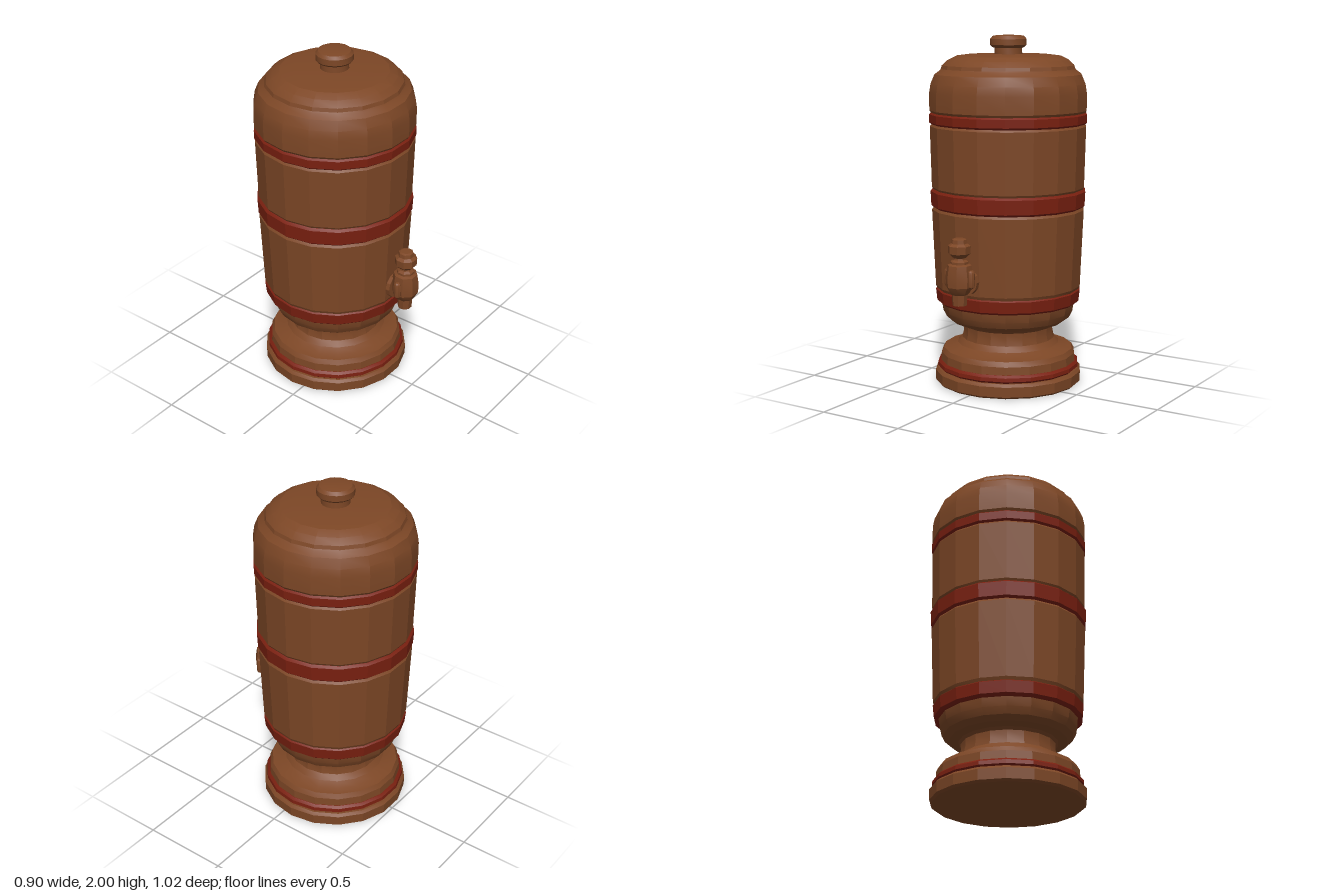
import * as THREE from 'three';
import { toCreasedNormals } from 'three/addons/utils/BufferGeometryUtils.js';

const clay = new THREE.MeshStandardMaterial({ color: 0x7d4726 });
clay.name = 'clay brown';
const red = new THREE.MeshStandardMaterial({ color: 0x7a2010 });
red.name = 'band red';

// Faceted turned part from [radius, height] pairs, listed bottom to top
function turned(name, profile, material, sides = 18, crease = 0.33) {
  const points = profile.map(([r, y]) => new THREE.Vector2(r, y));
  const lathe = new THREE.LatheGeometry(points, sides, Math.PI / sides);
  const mesh = new THREE.Mesh(toCreasedNormals(lathe, crease), material);
  mesh.name = name;
  return mesh;
}

// Red hoop with small bevels
function band(name, y0, y1, r0, r1) {
  const b = 0.012, d = 0.014;
  return turned(name, [
    [r0 - 0.05, y0], [r0 - d, y0], [r0, y0 + b], [r1, y1 - b], [r1 - d, y1], [r1 - 0.05, y1],
  ], red);
}

function createTap() {
  const tap = new THREE.Group();
  tap.name = 'tap';
  tap.position.z = 0.43;

  tap.add(turned('tapBody', [
    [0, 0.54], [0.04, 0.54], [0.044, 0.6], [0.055, 0.61], [0.075, 0.645],
    [0.078, 0.7], [0.068, 0.765], [0.05, 0.772], [0.05, 0.785], [0.034, 0.795],
    [0.03, 0.815], [0, 0.815],
  ], clay, 8));
  tap.add(turned('tapHandle', [
    [0, 0.8], [0.035, 0.805], [0.062, 0.83], [0.064, 0.872], [0.045, 0.885],
    [0.042, 0.907], [0.03, 0.912], [0, 0.912],
  ], clay, 8));

  // Side lugs
  for (const side of [-1, 1]) {
    const lug = new THREE.Mesh(toCreasedNormals(new THREE.CapsuleGeometry(0.02, 0.065, 3, 8), 0.3), clay);
    lug.name = side > 0 ? 'leftLug' : 'rightLug';
    lug.position.set(side * 0.077, 0.69, 0);
    tap.add(lug);
  }

  // Pipe and flange entering the vessel
  for (const [name, r, len, y, z] of [['pipe', 0.04, 0.1, 0.69, -0.06], ['flange', 0.075, 0.03, 0.66, -0.073]]) {
    const part = new THREE.Mesh(toCreasedNormals(new THREE.CylinderGeometry(r, r, len, 12), 0.3), clay);
    part.name = name;
    part.rotation.x = Math.PI / 2;
    part.position.set(0, y, z);
    tap.add(part);
  }
  return tap;
}

export function createModel() {
  const model = new THREE.Group();
  model.name = 'waterFilter';
  const vessel = new THREE.Group();
  vessel.name = 'vessel';
  vessel.position.z = -0.07;
  model.add(vessel, createTap());

  // Foot
  vessel.add(turned('plinth', [
    [0, 0], [0.41, 0], [0.424, 0.012], [0.426, 0.07], [0.412, 0.085], [0.3, 0.085],
  ], clay));
  vessel.add(band('footBand', 0.085, 0.13, 0.412, 0.41));
  vessel.add(turned('foot', [
    [0.36, 0.125], [0.393, 0.13], [0.39, 0.175], [0.375, 0.202], [0.335, 0.21],
    [0.295, 0.232], [0.268, 0.262], [0.26, 0.3], [0.262, 0.335], [0.275, 0.35],
    [0.325, 0.362], [0.358, 0.387], [0.378, 0.425], [0.386, 0.475], [0.36, 0.482],
  ], clay));

  // Vessel wall between the hoops
  vessel.add(band('lowerBand', 0.475, 0.563, 0.413, 0.42));
  vessel.add(turned('lowerWall', [
    [0.38, 0.555], [0.412, 0.558], [0.42, 0.575], [0.439, 1.015], [0.428, 1.03], [0.38, 1.03],
  ], clay));
  vessel.add(band('middleBand', 1.028, 1.133, 0.443, 0.447));
  vessel.add(turned('upperWall', [
    [0.39, 1.13], [0.43, 1.13], [0.439, 1.145], [0.448, 1.49], [0.438, 1.503], [0.39, 1.503],
  ], clay));
  vessel.add(band('upperBand', 1.5, 1.57, 0.451, 0.452));

  // Domed lid and its knob
  vessel.add(turned('lid', [
    [0.39, 1.565], [0.44, 1.565], [0.45, 1.58], [0.45, 1.68], [0.442, 1.73],
    [0.42, 1.782], [0.392, 1.803], [0.384, 1.812], [0.378, 1.832], [0.345, 1.862],
    [0.3, 1.884], [0.23, 1.893], [0, 1.895],
  ], clay));
  vessel.add(turned('knob', [
    [0.08, 1.885], [0.078, 1.928], [0.095, 1.935], [0.104, 1.945], [0.104, 1.978],
    [0.09, 1.995], [0.065, 2], [0, 2],
  ], clay, 18, 0.6));

  return model;
}
